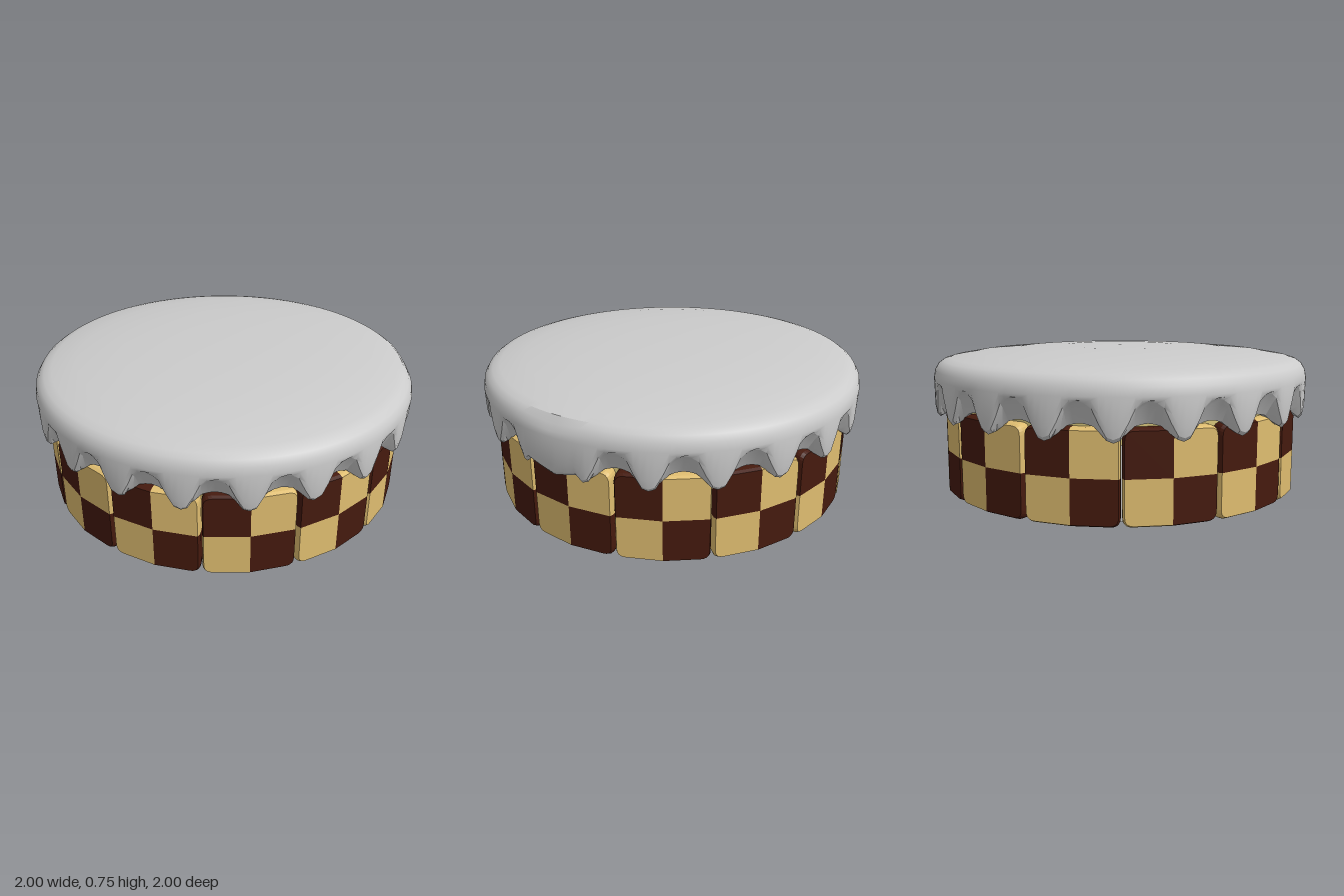
import * as THREE from 'three';
import { mergeGeometries, toCreasedNormals } from 'three/addons/utils/BufferGeometryUtils.js';

const BISCUITS = 13, R = 0.95, HALF_H = 0.2225, DEPTH = 0.08;
const ARCHES = 20, PER_ARCH = 10;

const mat = (color, extra = {}) => new THREE.MeshStandardMaterial({ color, ...extra });

function named(name, geometry, material) {
  const mesh = new THREE.Mesh(geometry, material);
  mesh.name = name;
  return mesh;
}

// One quarter of a biscuit: a flat panel with one rounded outer corner, eased at its outer rim
function quarter(sx, sy) {
  const half = Math.PI / BISCUITS;
  const w = 2 * R * Math.sin(half / 2) - 0.003, h = HALF_H, c = 0.045;
  const s = new THREE.Shape();
  s.moveTo(0, 0);
  s.lineTo(sx * w, 0);
  s.lineTo(sx * w, sy * (h - c));
  s.quadraticCurveTo(sx * w, sy * h, sx * (w - c), sy * h);
  s.lineTo(0, sy * h);
  s.closePath();
  const g = new THREE.ExtrudeGeometry(s, { depth: DEPTH, steps: 5, bevelEnabled: false, curveSegments: 5 });
  const p = g.attributes.position;
  for (let i = 0; i < p.count; i++) {
    const d = DEPTH - p.getZ(i);
    const ease = d < 0.005 ? 0.955 : d < 0.02 ? 0.99 : 1;
    const x = p.getX(i) * ease, k = 1 - d / R;
    p.setXYZ(i, x * Math.cos(half / 2) * k, h + p.getY(i) * ease, (R - Math.abs(x) * Math.sin(half / 2)) * k);
  }
  g.computeVertexNormals();
  return g;
}

// Height of the icing's lower edge at an angle: arches between drips, one wide drip
function edgeHeight(a) {
  const turn = a / (2 * Math.PI) * ARCHES;
  const n = Math.round(turn);
  if (n % ARCHES === 6) return 0.39 + 0.07 * Math.abs(turn - n);
  const t = Math.abs(turn - n);
  const steps = [[0, 0.553], [0.18, 0.535], [0.3, 0.455], [0.4, 0.4], [0.501, 0.388]];
  for (let i = 1; i < steps.length; i++) {
    const [t0, y0] = steps[i - 1], [t1, y1] = steps[i];
    if (t <= t1) return y0 + (y1 - y0) * (t - t0) / (t1 - t0);
  }
  return 0.388;
}

// Icing lofted from rings: domed top, rounded rim, dripping wall, underside
function icingGeometry() {
  const n = ARCHES * PER_ARCH, pos = [], idx = [];
  let rings = 0;
  for (let j = 0; j < n; j++) {
    const a = j / n * Math.PI * 2, e = edgeHeight(a);
    const open = (e - 0.388) / 0.165;
    const sag = 0.015 * Math.max(0, 1 - Math.abs(a - 0.6 * Math.PI) / 0.25);
    const profile = [
      [0, 0.745], [0.3, 0.742], [0.55, 0.732], [0.78, 0.712], [0.91, 0.69], [0.95, 0.678],
      [0.975, 0.66 - sag], [0.993, 0.63 - sag], [1, 0.59], [0.998, Math.min(0.575, e + 0.06)],
      [0.99, e + 0.018], [0.975, e], [0.955 - 0.025 * open, 0.4 + 0.065 * open], [0.86, 0.47],
    ];
    rings = profile.length;
    for (const [r, y] of profile) pos.push(Math.sin(a) * r, y, Math.cos(a) * r);
  }
  for (let j = 0; j < n; j++) {
    for (let i = 0; i < rings - 1; i++) {
      const a = j * rings + i, b = a + 1, c = ((j + 1) % n) * rings + i, d = c + 1;
      if (i > 0) idx.push(a, b, c);
      idx.push(b, d, c);
    }
  }
  const g = new THREE.BufferGeometry();
  g.setAttribute('position', new THREE.Float32BufferAttribute(pos, 3));
  g.setIndex(idx);
  return toCreasedNormals(g, 0.45);
}

export function createModel() {
  const model = new THREE.Group();
  model.name = 'cake';
  const grey = mat(0xcccccc), dark = mat(0x451a0e), light = mat(0xdfbd70), sponge = mat(0xd8c67c);

  // Filling and sponge
  const filling = named('filling', new THREE.CylinderGeometry(0.875, 0.875, 0.4, 64), grey);
  filling.position.y = 0.21;
  const top = named('sponge', new THREE.CylinderGeometry(0.885, 0.885, 0.1, 64), sponge);
  top.position.y = 0.41;
  model.add(filling, top);

  // Jagged sponge patch on the underside
  const star = new THREE.Shape();
  const teeth = 36;
  for (let i = 0; i < teeth * 2; i++) {
    const a = i / teeth * Math.PI, r = i % 2 ? 0.72 : 0.79;
    star[i ? 'lineTo' : 'moveTo'](Math.cos(a) * r, Math.sin(a) * r);
  }
  const base = named('spongeBase', new THREE.ShapeGeometry(star), sponge);
  base.rotation.x = Math.PI / 2;
  base.position.y = 0.006;
  model.add(base);

  // Ring of chequered biscuits
  const darkGeo = mergeGeometries([quarter(-1, 1), quarter(1, -1)]);
  const lightGeo = mergeGeometries([quarter(1, 1), quarter(-1, -1)]);
  for (let i = 0; i < BISCUITS; i++) {
    const biscuit = new THREE.Group();
    biscuit.name = 'biscuit';
    biscuit.add(named('darkSquares', darkGeo, dark), named('lightSquares', lightGeo, light));
    biscuit.rotation.y = i / BISCUITS * Math.PI * 2;
    model.add(biscuit);
  }

  model.add(named('icing', icingGeometry(), mat(0xcccccc, { side: THREE.DoubleSide })));
  return model;
}
